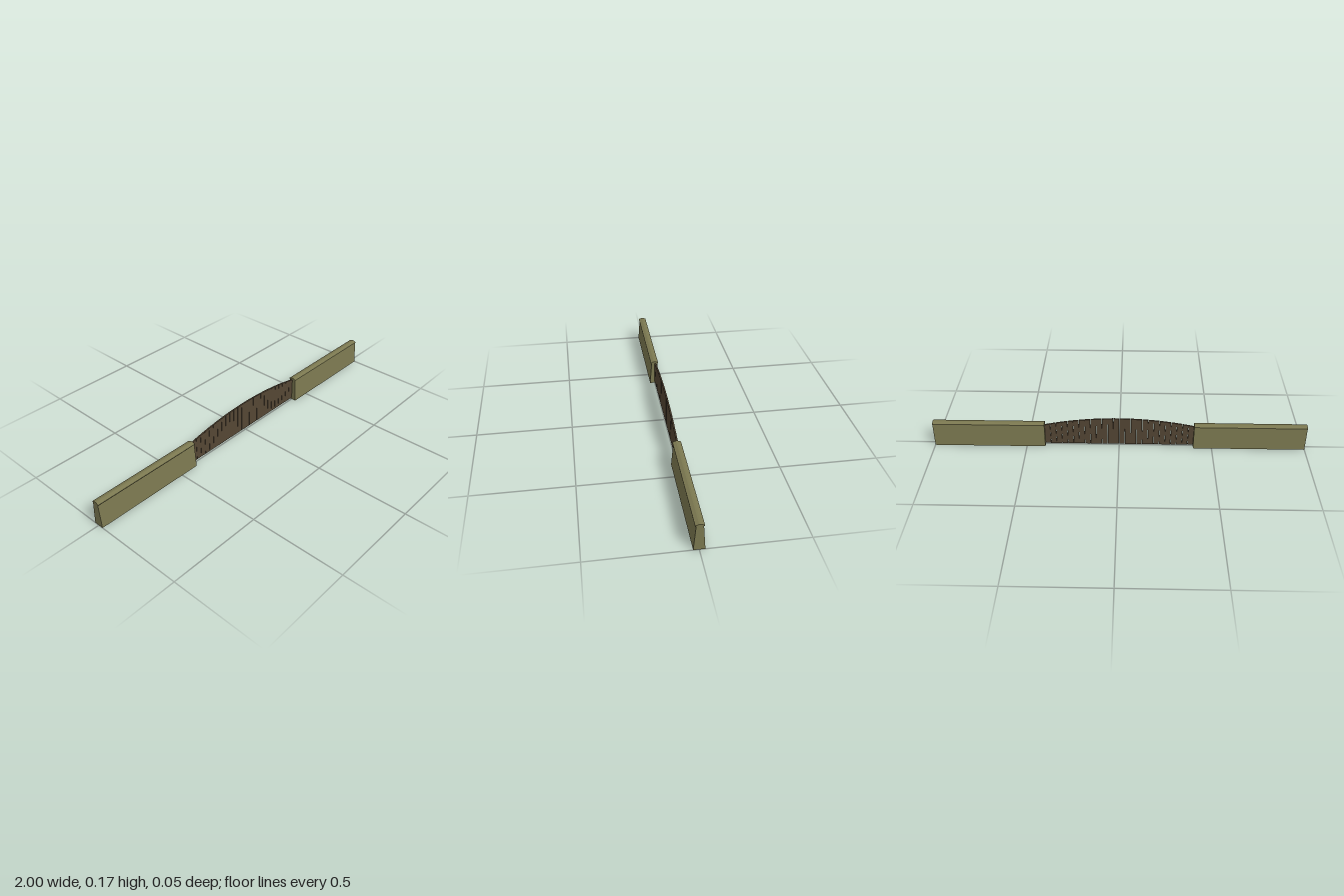
import * as THREE from 'three';

// Extrude an outline [[x, y], ...] along z, centred on z = 0
function extrude(points, depth) {
  const shape = new THREE.Shape(points.map(([x, y]) => new THREE.Vector2(x, y)));
  const geometry = new THREE.ExtrudeGeometry(shape, { depth, bevelEnabled: false });
  return geometry.translate(0, 0, -depth / 2);
}

export function createModel() {
  const stone = new THREE.MeshStandardMaterial({ color: 0x7b7850 });
  stone.name = 'olive stone';
  const wood = new THREE.MeshStandardMaterial({ color: 0x544634 });
  wood.name = 'dark brown wood';

  const model = new THREE.Group();
  model.name = 'walledGate';
  const add = (parent, name, geometry, material) => {
    const mesh = new THREE.Mesh(geometry, material);
    mesh.name = name;
    parent.add(mesh);
    return mesh;
  };

  // Tapered wall and its coping, drawn in section and run along x
  const wallSection = [[-0.0265, 0], [0.0265, 0], [0.0165, 0.132], [-0.0165, 0.132]];
  const copingSection = [[-0.021, 0.131], [0.021, 0.131], [0.021, 0.135], [0.004, 0.141], [-0.004, 0.141], [-0.021, 0.135]];
  for (const side of [-1, 1]) {
    const wall = new THREE.Group();
    wall.name = side > 0 ? 'leftWall' : 'rightWall';
    wall.position.x = side * 0.7;
    wall.rotation.y = Math.PI / 2;
    add(wall, 'wallBody', extrude(wallSection, 0.6), stone);
    add(wall, 'coping', extrude(copingSection, 0.6), stone);
    model.add(wall);
  }

  // Two gate leaves of upright planks under one shallow arch
  const count = 13, pitch = 0.4 / count, gap = 0.0008;
  const archHeight = (x) => 0.13 + 0.045 * (1 - (x / 0.4) ** 2);
  for (const side of [-1, 1]) {
    const leaf = new THREE.Group();
    leaf.name = side > 0 ? 'leftGateLeaf' : 'rightGateLeaf';
    leaf.position.z = -0.004;
    for (let i = 0; i < count; i++) {
      const middle = side * (i + 0.5) * pitch;
      const a = middle - pitch / 2 + gap, b = middle + pitch / 2 - gap;
      const outline = [[a, 0.01], [b, 0.01], [b, archHeight(b)], [a, archHeight(a)]];
      add(leaf, 'plank', extrude(outline, 0.008), wood);
    }
    model.add(leaf);
  }
  return model;
}
